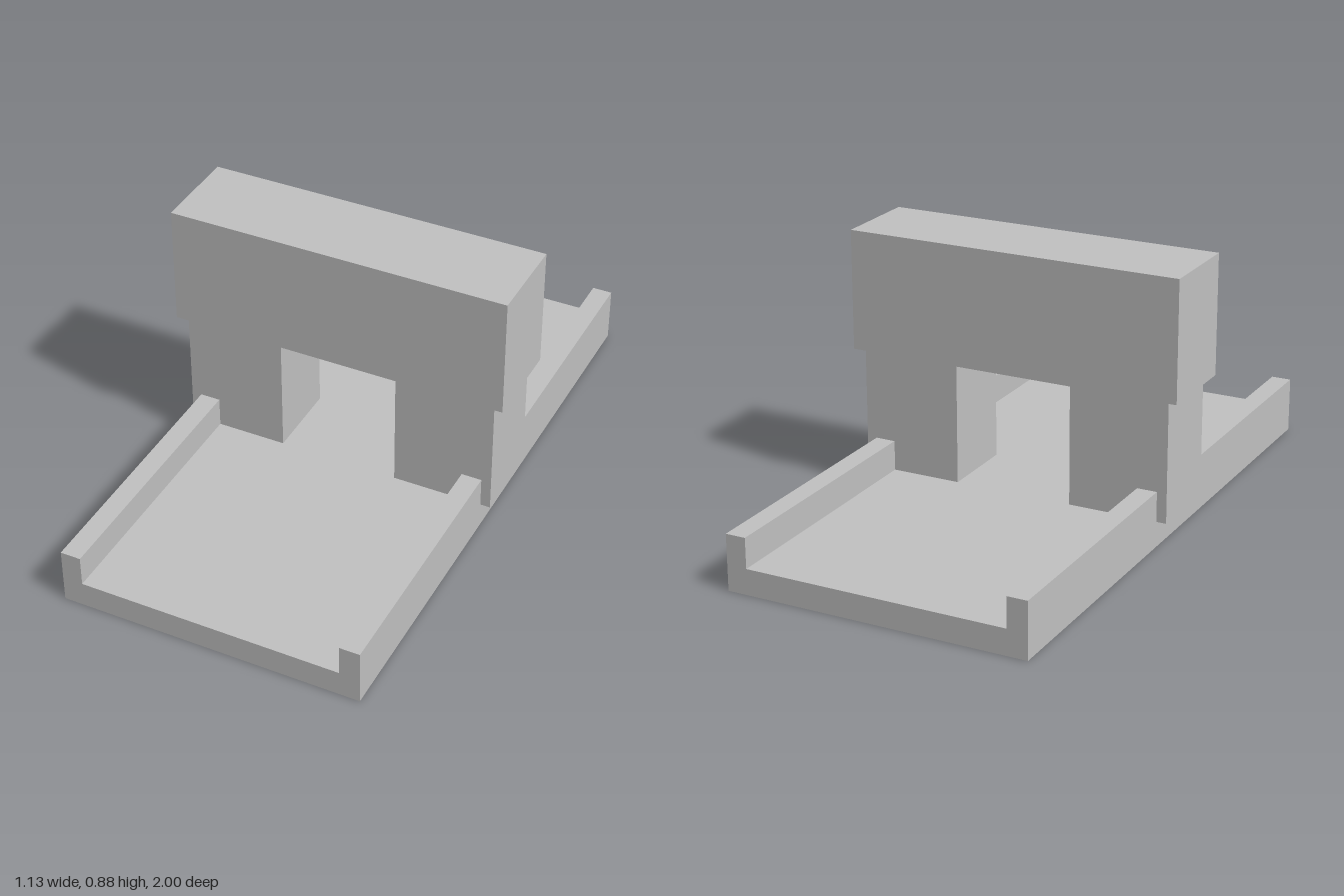
import * as THREE from 'three';

export function createModel() {
  const model = new THREE.Group();
  model.name = 'bridgeGate';
  const stone = new THREE.MeshStandardMaterial({ color: 0xc0c0c0 });
  stone.name = 'light grey';

  const add = (name, geometry, x = 0, y = 0, z = 0) => {
    const mesh = new THREE.Mesh(geometry, stone);
    mesh.name = name;
    mesh.position.set(x, y, z);
    model.add(mesh);
  };

  // Deck with a raised kerb along each side, one U-shaped section
  const section = new THREE.Shape([
    [-0.5, 0], [0.5, 0], [0.5, 0.185], [0.433, 0.185],
    [0.433, 0.085], [-0.433, 0.085], [-0.433, 0.185], [-0.5, 0.185],
  ].map(([x, y]) => new THREE.Vector2(x, y)));
  add('deck', new THREE.ExtrudeGeometry(section, { depth: 2, bevelEnabled: false }), 0, 0, -1);

  // Pillars overlapping the kerbs
  for (const [name, side] of [['leftPillar', 1], ['rightPillar', -1]]) {
    add(name, new THREE.BoxGeometry(0.333, 0.402, 0.266), side * 0.3665, 0.286);
  }

  // Wide beam across the pillars
  add('beam', new THREE.BoxGeometry(1.133, 0.398, 0.3), 0, 0.686);

  return model;
}
